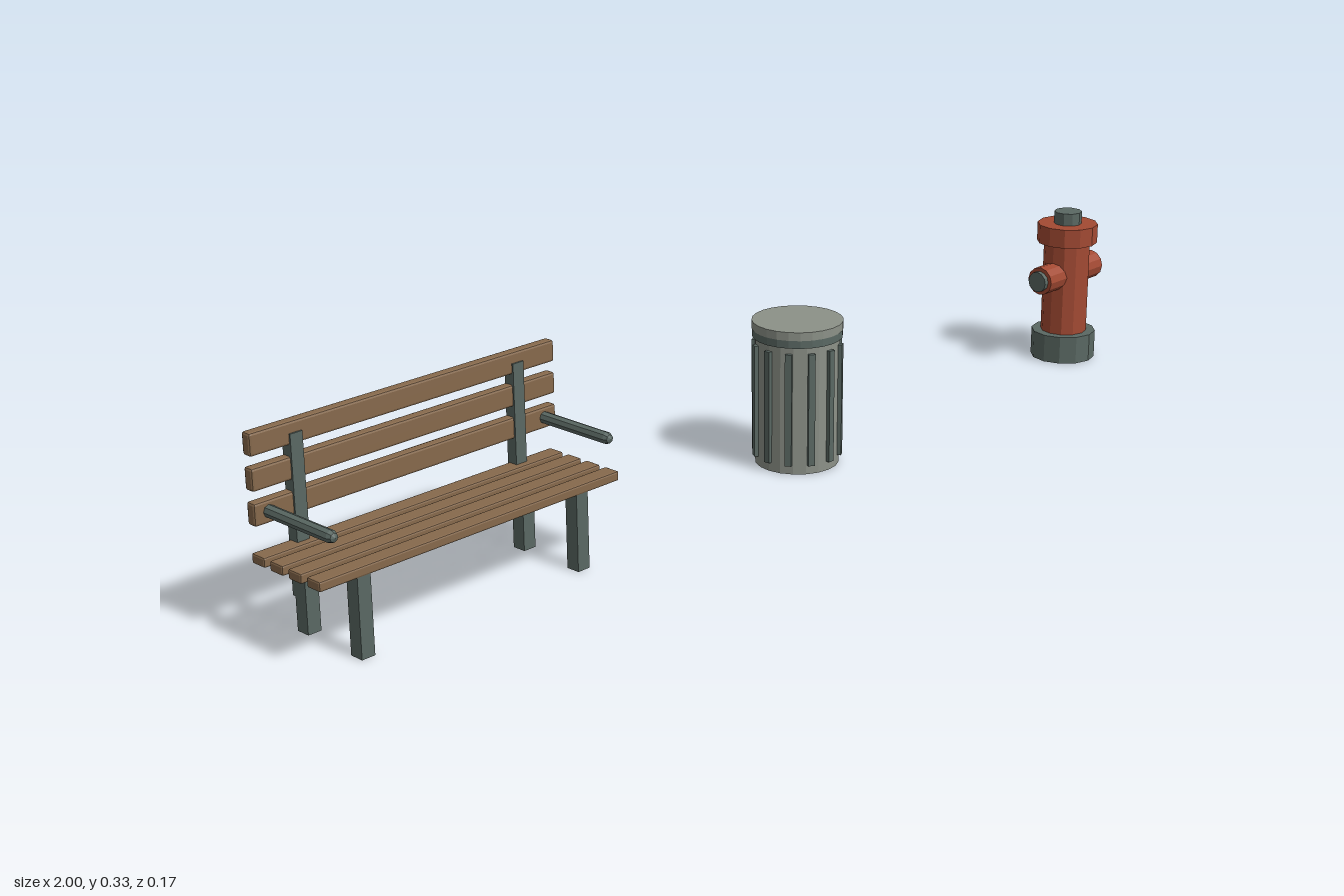
import * as THREE from 'three';
import { RoundedBoxGeometry } from 'three/addons/geometries/RoundedBoxGeometry.js';

const paint = (color) => new THREE.MeshStandardMaterial({ color, flatShading: true });

export function createModel() {
  const wood = paint(0x86694c);
  const iron = paint(0x5a6863);
  const steel = paint(0x8c9188);
  const red = paint(0xa34a33);

  const add = (parent, name, geometry, material, x, y, z) => {
    const mesh = new THREE.Mesh(geometry, material);
    mesh.name = name;
    mesh.position.set(x, y, z);
    parent.add(mesh);
    return mesh;
  };
  const group = (parent, name, x) => {
    const g = new THREE.Group();
    g.name = name;
    g.position.x = x;
    parent.add(g);
    return g;
  };
  // Upright cylinder between two heights
  const drum = (parent, name, material, r, y0, y1, sides, rBottom = r) =>
    add(parent, name, new THREE.CylinderGeometry(r, rBottom, y1 - y0, sides), material, 0, (y0 + y1) / 2, 0);

  const model = new THREE.Group();
  model.name = 'streetFurniture';

  // Park bench
  const bench = group(model, 'bench', -0.707);
  for (let i = 0; i < 4; i++) {
    add(bench, 'seatSlat', new RoundedBoxGeometry(0.586, 0.016, 0.03, 1, 0.003), wood, 0, 0.136, 0.0615 - i * 0.0425);
  }
  for (let i = 0; i < 3; i++) {
    add(bench, 'backSlat', new RoundedBoxGeometry(0.586, 0.036, 0.019, 1, 0.004), wood, 0, 0.205 + i * 0.0535, -0.075);
  }
  for (const side of [-1, 1]) {
    const x = side * 0.214;
    for (const z of [-0.0625, 0.0625]) {
      add(bench, z > 0 ? 'frontLeg' : 'backLeg', new THREE.BoxGeometry(0.024, 0.13, 0.025), iron, x, 0.065, z);
    }
    add(bench, 'backPost', new THREE.BoxGeometry(0.022, 0.257, 0.02), iron, x, 0.1835, -0.0725);
    // Rod armrest with rounded ends
    const arm = add(bench, 'armrest', new THREE.CapsuleGeometry(0.01, 0.155, 2, 8), iron, side * 0.268, 0.206, -0.001);
    arm.rotation.x = Math.PI / 2;
  }

  // Ribbed bin
  const bin = group(model, 'trashCan', 0.0975);
  drum(bin, 'binBody', steel, 0.074, 0, 0.235, 20);
  drum(bin, 'lidRim', iron, 0.079, 0.231, 0.246, 24);
  drum(bin, 'lid', steel, 0.08, 0.245, 0.26, 24);
  for (let i = 0; i < 12; i++) {
    const a = (i / 12) * Math.PI * 2;
    const rib = add(bin, 'binRib', new THREE.BoxGeometry(0.012, 0.203, 0.016), iron,
      Math.sin(a) * 0.072, 0.118, Math.cos(a) * 0.072);
    rib.rotation.y = a;
  }

  // Fire hydrant
  const hydrant = group(model, 'hydrant', 0.9035);
  drum(hydrant, 'hydrantBase', iron, 0.063, 0, 0.054, 12);
  drum(hydrant, 'hydrantBarrel', red, 0.045, 0.05, 0.24, 12);
  drum(hydrant, 'hydrantBonnet', red, 0.059, 0.235, 0.272, 12);
  drum(hydrant, 'hydrantTopNut', iron, 0.027, 0.27, 0.296, 10);
  for (const side of [-1, 1]) {
    const nozzle = add(hydrant, 'nozzle', new THREE.CylinderGeometry(0.0275, 0.0275, 0.06, 12), red, side * 0.057, 0.171, 0);
    const cap = add(hydrant, 'nozzleCap', new THREE.CylinderGeometry(0.02, 0.02, 0.02, 12), iron, side * 0.0865, 0.171, 0);
    nozzle.rotation.z = cap.rotation.z = Math.PI / 2;
  }

  return model;
}
